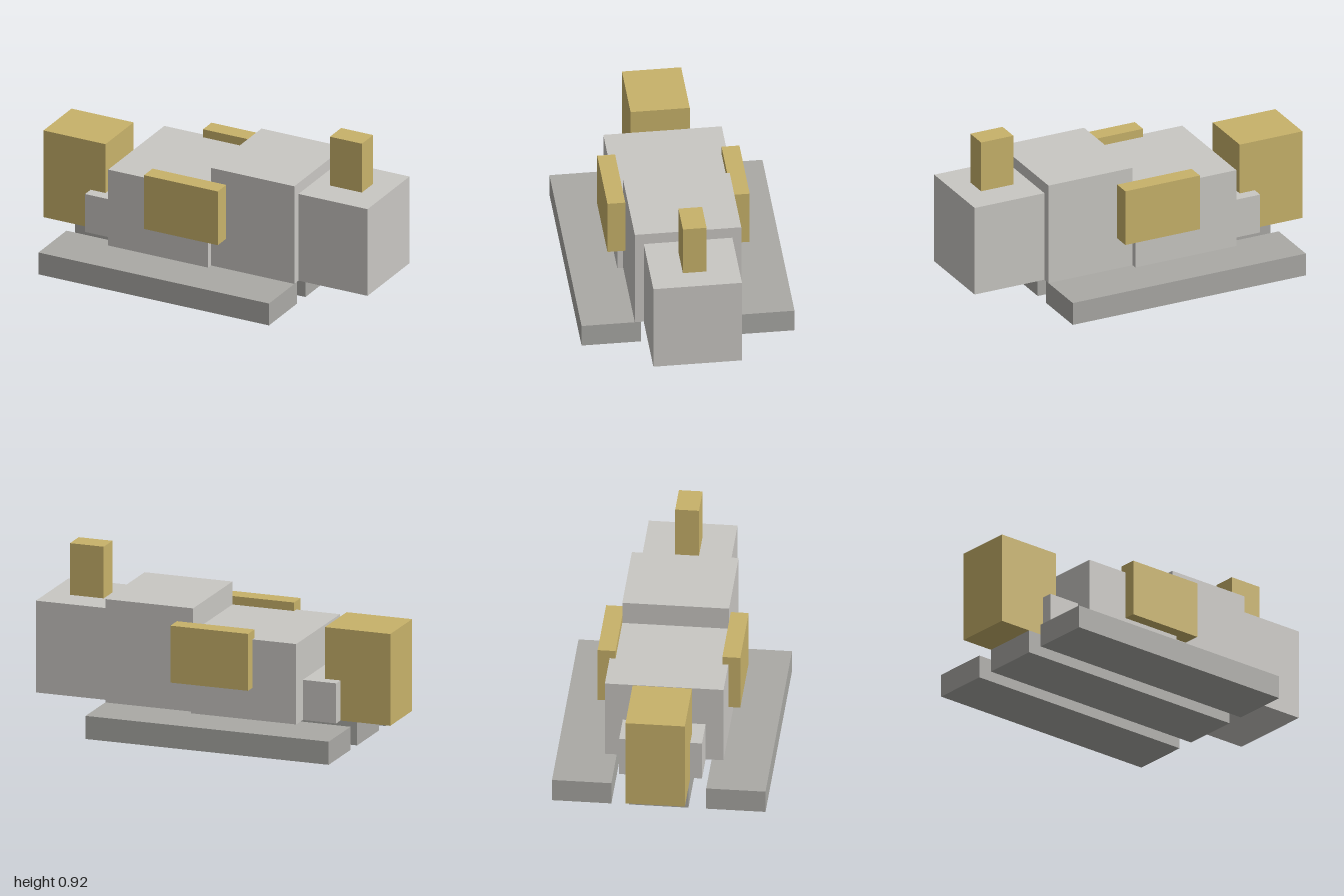
import * as THREE from 'three';

const material = (name, color) => {
  const m = new THREE.MeshStandardMaterial({ color });
  m.name = name;
  return m;
};

export function createModel() {
  const model = new THREE.Group();
  model.name = 'blockVehicle';

  const paleGrey = material('pale grey', 0xc9c7c3);
  const darkGrey = material('dark grey', 0xaaa9a5);
  const brass = material('brass', 0xc8b26a);

  // Box given by its lower and upper limits on each axis
  const block = (name, mat, [x0, x1], [y0, y1], [z0, z1]) => {
    const mesh = new THREE.Mesh(new THREE.BoxGeometry(x1 - x0, y1 - y0, z1 - z0), mat);
    mesh.position.set((x0 + x1) / 2, (y0 + y1) / 2, (z0 + z1) / 2);
    mesh.name = name;
    model.add(mesh);
  };
  const centred = (halfWidth) => [-halfWidth, halfWidth];

  const deck = 0.128; // top of the runners, where the body starts

  // Three parallel runners
  ['rightRunner', 'middleRunner', 'leftRunner'].forEach((name, i) => {
    const z = (1 - i) * 0.413;
    block(name, darkGrey, [-0.81, 0.583], [0, deck], [z - 0.159, z + 0.159]);
  });

  // Stepped body
  block('neck', paleGrey, [-0.715, -0.524], [deck, 0.35], centred(0.222));
  block('mainBody', paleGrey, [-0.524, 0.08], [deck, 0.573], centred(0.318));
  block('raisedBody', paleGrey, [0.08, 0.583], [deck, 0.7], centred(0.286));
  block('endBody', paleGrey, [0.583, 1], [deck, 0.636], centred(0.238));

  // Brass end block and upright post
  block('endBlock', brass, [-1, -0.625], [deck, 0.636], centred(0.159));
  block('post', brass, [0.68, 0.873], [0.636, 0.922], centred(0.0636));

  // Brass panels on both sides
  block('frontSidePanel', brass, [-0.273, 0.172], [0.305, 0.62], [0.286, 0.382]);
  block('backSidePanel', brass, [-0.273, 0.172], [0.305, 0.62], [-0.382, -0.286]);

  return model;
}
